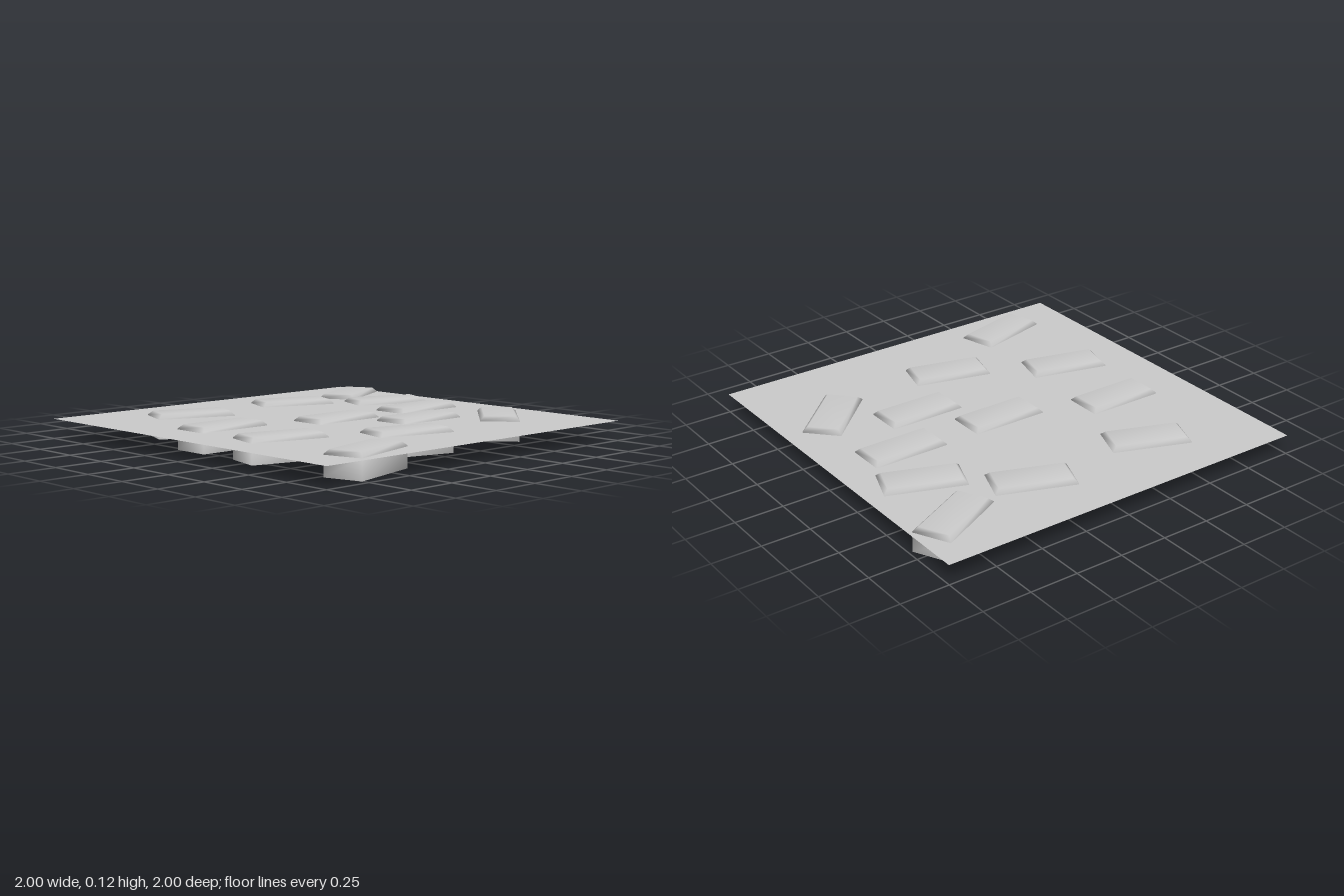
import * as THREE from 'three';

const LENGTH = 0.4, DEPTH = 0.196, HEIGHT = 0.125, BEVEL = 0.02, GROUND_Y = 0.1;

// Hollow brick, open underneath: straight walls, then a bevel in to the flat top
function brickGeometry() {
  const rings = [[0, 0], [HEIGHT - BEVEL, 0], [HEIGHT, BEVEL]]; // [height, inset]
  const corners = [[-1, 1], [1, 1], [1, -1], [-1, -1]];
  const positions = [], index = [];
  for (const [y, inset] of rings)
    for (const [sx, sz] of corners)
      positions.push(sx * (LENGTH / 2 - inset), y, sz * (DEPTH / 2 - inset));
  for (let r = 0; r < rings.length - 1; r++)
    for (let i = 0; i < 4; i++) {
      const a = r * 4 + i, b = r * 4 + (i + 1) % 4;
      index.push(a, b, b + 4, a, b + 4, a + 4);
    }
  const t = (rings.length - 1) * 4;
  index.push(t, t + 1, t + 2, t, t + 2, t + 3);

  const geometry = new THREE.BufferGeometry();
  geometry.setAttribute('position', new THREE.Float32BufferAttribute(positions, 3));
  geometry.setIndex(index);
  geometry.computeVertexNormals(); // shared corners give soft shading
  return geometry;
}

// Each brick: x, z, turn in degrees
const BRICKS = [
  [-0.42, -0.62, -20.5], [0.275, -0.62, -20.5], [0.758, -0.683, 26.5],
  [0.69, -0.325, -20.5], [-0.58, -0.178, 0], [0.02, -0.008, 0],
  [0.6, -0.008, 0], [0.32, 0.275, 0], [-0.607, 0.275, -14.5],
  [-0.055, 0.555, -14.5], [0.69, 0.48, 43.5], [-0.585, 0.815, 15],
];

export function createModel() {
  const group = new THREE.Group();
  group.name = 'brickWallPatch';
  const material = new THREE.MeshStandardMaterial({ color: 0xcccccc, side: THREE.DoubleSide });

  // Thin flat sheet the bricks poke through
  const sheet = new THREE.Mesh(new THREE.PlaneGeometry(2, 2).rotateX(-Math.PI / 2), material);
  sheet.name = 'sheet';
  sheet.position.y = GROUND_Y;
  group.add(sheet);

  // Scattered bricks
  const geometry = brickGeometry();
  BRICKS.forEach(([x, z, turn], i) => {
    const brick = new THREE.Mesh(geometry, material);
    brick.name = `brick${i + 1}`;
    brick.position.set(x, 0, z);
    brick.rotation.y = THREE.MathUtils.degToRad(turn);
    group.add(brick);
  });
  return group;
}
